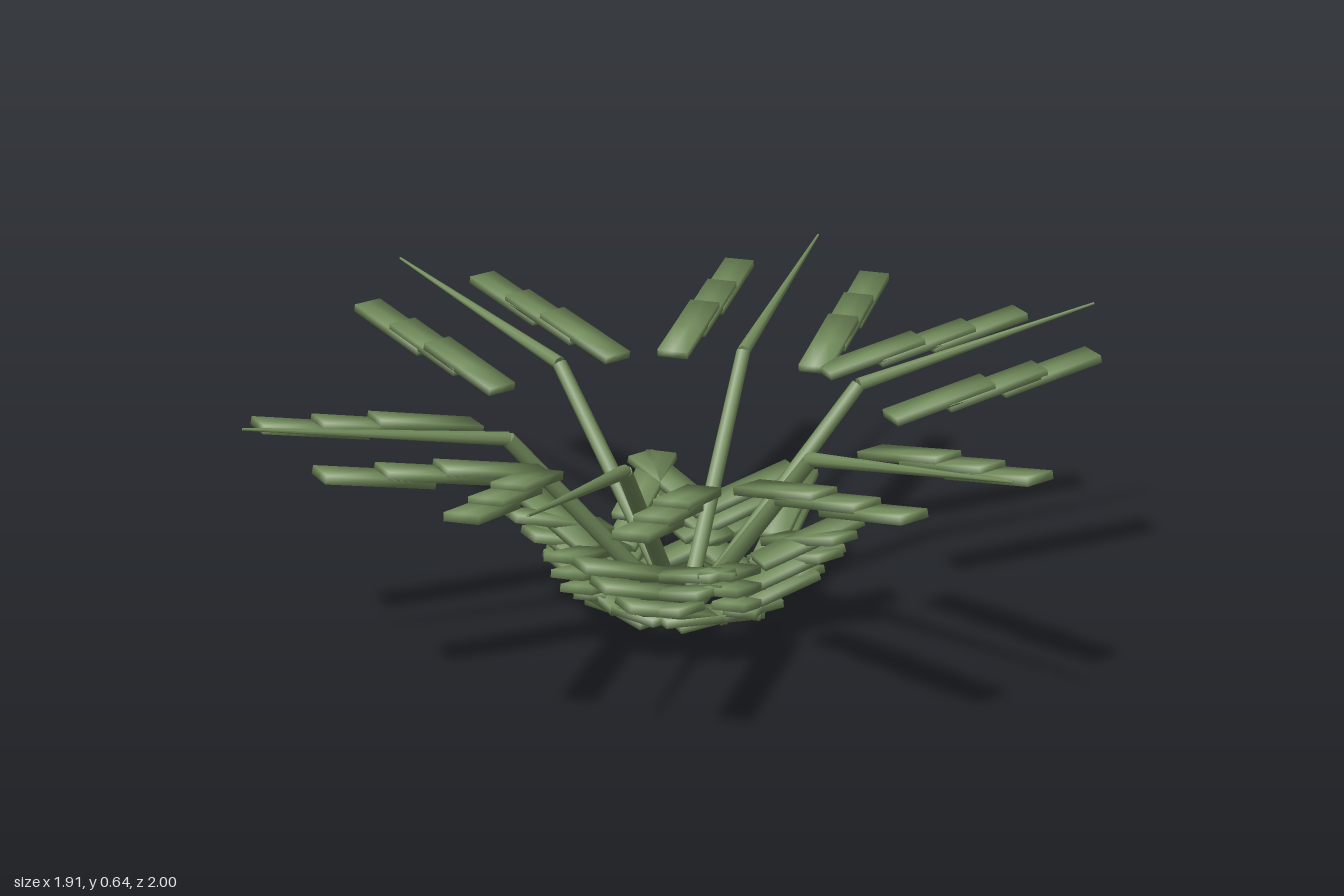
import * as THREE from 'three';

const leafGreen = new THREE.MeshStandardMaterial({ color: 0x738c5c });
leafGreen.name = 'leafGreen';

const UP = new THREE.Vector3(0, 1, 0);

// Tapered rod between two points
function rod(name, a, b, r0, r1) {
  const dir = b.clone().sub(a);
  const mesh = new THREE.Mesh(new THREE.CylinderGeometry(r1, r0, dir.length(), 8), leafGreen);
  mesh.position.copy(a).add(b).multiplyScalar(0.5);
  mesh.quaternion.setFromUnitVectors(UP, dir.normalize());
  mesh.name = name;
  return mesh;
}

// Flat leaflet along +x with softly shaded corners, tilted up towards its outer end
function leafletGeometry(length, slope) {
  const g = new THREE.BoxGeometry(length, 0.018, 0.073, 2, 1, 2);
  const p = g.attributes.position;
  const n = g.attributes.normal;
  const v = new THREE.Vector3();
  for (let i = 0; i < p.count; i++) {
    // Normals lean outwards at the rim and stay upright in the middle
    v.set(Math.sign(p.getX(i)), Math.sign(p.getY(i)), Math.sign(p.getZ(i))).normalize();
    n.setXYZ(i, v.x, v.y, v.z);
  }
  return g.rotateZ(Math.atan(slope));
}

const bottomLeaflet = leafletGeometry(0.245, 0.1);
const lowerLeaflet = leafletGeometry(0.25, 0.3);
const upperLeaflet = leafletGeometry(0.245, 0.22);

// Leaflet centres along the frond: [distance out, height]
const leafletRows = [
  ['bottomLeaflet', bottomLeaflet, [[0.03, 0.09]]],
  ['lowerLeaflet', lowerLeaflet, [[0.12, 0.118], [0.18, 0.175], [0.225, 0.23]]],
  ['upperLeaflet', upperLeaflet, [[0.54, 0.513], [0.67, 0.528], [0.805, 0.544]]],
];

function frond() {
  const group = new THREE.Group();
  group.name = 'frond';
  const base = new THREE.Vector3(0, 0.01, 0);
  const bend = new THREE.Vector3(0.425, 0.51, 0);
  const tip = new THREE.Vector3(1.02, 0.63, 0);
  group.add(rod('lowerStem', base, bend, 0.02, 0.017));
  group.add(rod('upperStem', bend, tip, 0.016, 0.003));

  // Overlapping leaflets in a row on each side of the stem
  for (const side of [-1, 1]) {
    for (const [name, geometry, spots] of leafletRows) {
      for (const [out, height] of spots) {
        const leaf = new THREE.Mesh(geometry, leafGreen);
        leaf.position.set(out, height, side * 0.172);
        leaf.name = name;
        group.add(leaf);
      }
    }
  }
  return group;
}

export function createModel() {
  const plant = new THREE.Group();
  plant.name = 'plant';
  // Fronds fan out unevenly around the base
  for (const degrees of [21.8, 77.6, 122.6, 199, 259.8, 308.2]) {
    const f = frond();
    f.position.x = 0.008;
    f.rotation.y = -THREE.MathUtils.degToRad(degrees);
    plant.add(f);
  }
  return plant;
}
